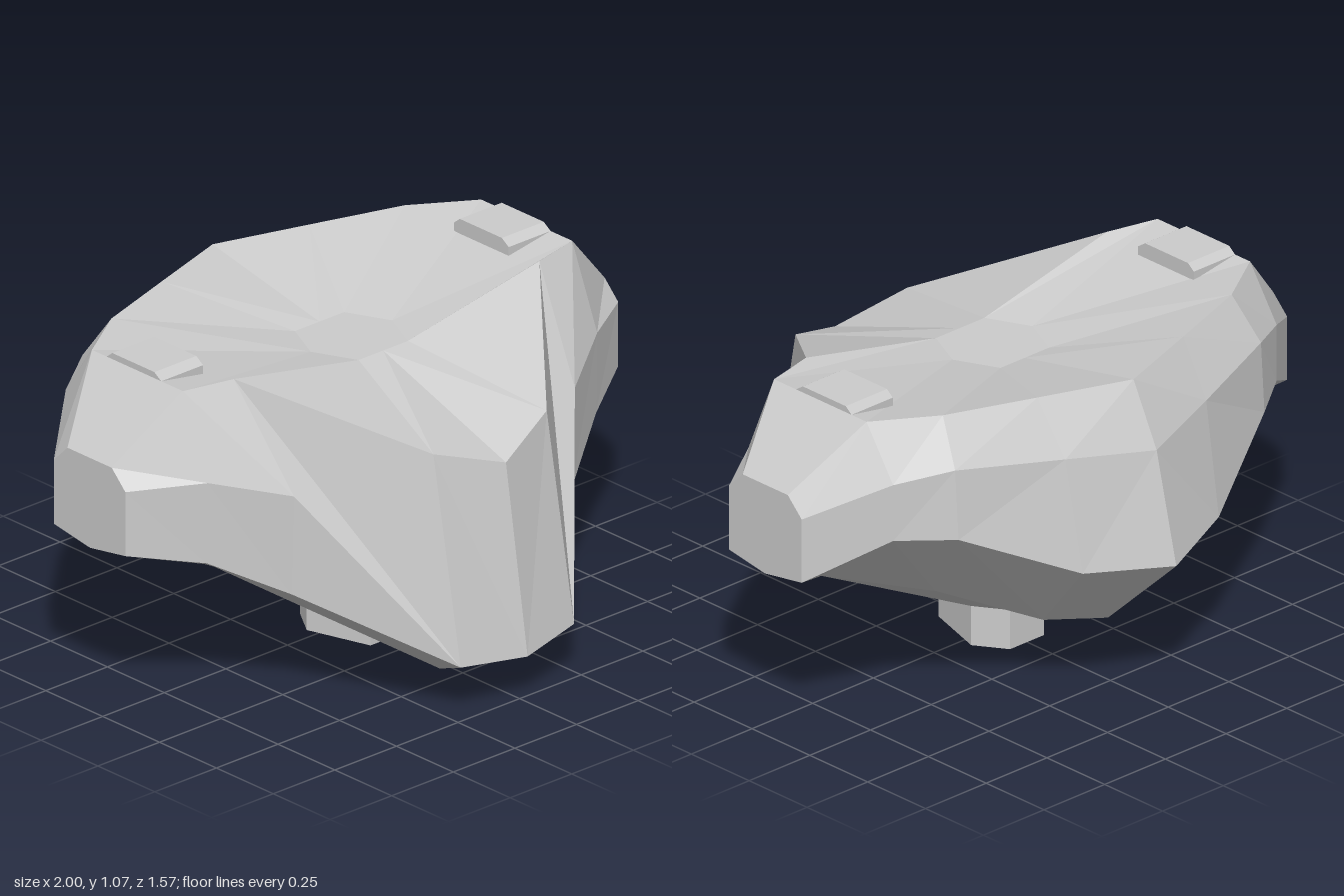
import * as THREE from 'three';

const grey = new THREE.MeshStandardMaterial({ color: 0xcccccc, flatShading: true });

// Outlines of the left half, each running from the front centre round to the back centre.
const level = (y, pts) => pts.map(([x, z]) => [x, y, z]);
const hub = level(.94, [[0, .15], [.1, .15], [.165, .01], [.1, -.13], [0, -.13]]);
const rim = [[0, .755, .69], [.23, .83, .62], [.62, 1.045, .165], [.79, 1.045, .125],
  [.79, 1.045, -.275], [.595, 1.045, -.4], [.3, 1.04, -.5], [0, 1.035, -.6]];
const tip = level(.83, [[1, .04], [1, -.155]]);
const lowerRim = [[0, .15, .785], [.23, .17, .74], [.57, .39, .365], [.79, .515, .23], [1, .56, .1], [1, .535, -.055],
  [1, .56, -.215], [.79, .69, -.39], [.63, .68, -.505], [.28, .51, -.675], [0, .48, -.785]];
const shoulder = [...lowerRim.slice(0, 2), [.57, .715, .375], [.79, .78, .235], [1, .77, .1],
  [1, .77, -.215], [.79, .875, -.39], [.63, .905, -.49], [.29, .87, -.61], [0, .835, -.7]];
const belly = [[0, .06, .58], [.14, .075, .55], [.37, .23, .23], [.54, .385, .12],
  [.79, .465, -.08], [.48, .37, -.25], [.2, .24, -.42], [0, .205, -.49]];
const stemPlan = [[0, .17], [.07, .17], [.135, -.04], [.07, -.14], [0, -.14]];
const stemRoot = level(.13, stemPlan);
const stemFoot = level(0, stemPlan);

// Two rules for pacing the stitch: by direction round the middle, or point by point.
const bearing = (ring, i) => Math.atan2(ring[i][0], ring[i][2]);
const step = (ring, i) => i;

// Zip an upper and a lower outline into triangles and mirror them across x.
function strip(upper, lower, pace = bearing) {
  const out = [];
  const tri = (...p) => {
    const [a, b, c] = p.map(q => new THREE.Vector3(...q));
    if (b.clone().sub(a).cross(c.clone().sub(a)).length() < 1e-7) return;
    for (const v of [a, b, c]) out.push(v.x, v.y, v.z);
    for (const v of [a, c, b]) out.push(-v.x, v.y, v.z);
  };
  let i = 0, j = 0;
  while (i < upper.length - 1 || j < lower.length - 1) {
    const upperNext = j === lower.length - 1 ||
      (i < upper.length - 1 && pace(upper, i + 1) <= pace(lower, j + 1));
    if (upperNext) {
      tri(upper[i], lower[j], upper[i + 1]);
      i++;
    } else {
      tri(upper[i], lower[j], lower[j + 1]);
      j++;
    }
  }
  const g = new THREE.BufferGeometry();
  g.setAttribute('position', new THREE.Float32BufferAttribute(out, 3));
  g.computeVertexNormals();
  return g;
}

// Sloped-end pad: a side profile pulled across the wing.
function padGeometry() {
  const profile = [[-.03, 1], [.21, 1], [.21, 1.045], [.185, 1.065], [0, 1.065], [-.03, 1.045]];
  const shape = new THREE.Shape(profile.map(p => new THREE.Vector2(...p)));
  return new THREE.ExtrudeGeometry(shape, { depth: .17, bevelEnabled: false }).rotateY(Math.PI / 2);
}

export function createModel() {
  const group = new THREE.Group();
  const add = (name, geometry) => {
    const mesh = new THREE.Mesh(geometry, grey);
    mesh.name = name;
    group.add(mesh);
    return mesh;
  };

  // dished top
  add('hub', strip([[0, .94, .01]], hub));
  add('deck', strip(hub, rim));
  add('wingSlopes', strip(rim.slice(3, 5), tip, step));

  // side walls
  const brow = [...rim.slice(0, 4), ...tip, ...rim.slice(4)];
  add('upperWall', strip(brow, shoulder, step));
  add('lowerWall', strip(shoulder, lowerRim));

  // underside and six-sided stem
  add('underside', strip(lowerRim, belly));
  add('belly', strip(belly, stemRoot));
  add('stem', strip(stemRoot, stemFoot, step));
  add('stemBase', strip(stemFoot, [[0, 0, 0]]));

  // pads on top of the wings
  add('leftPad', padGeometry()).position.x = .62;
  add('rightPad', padGeometry()).position.x = -.79;
  return group;
}
